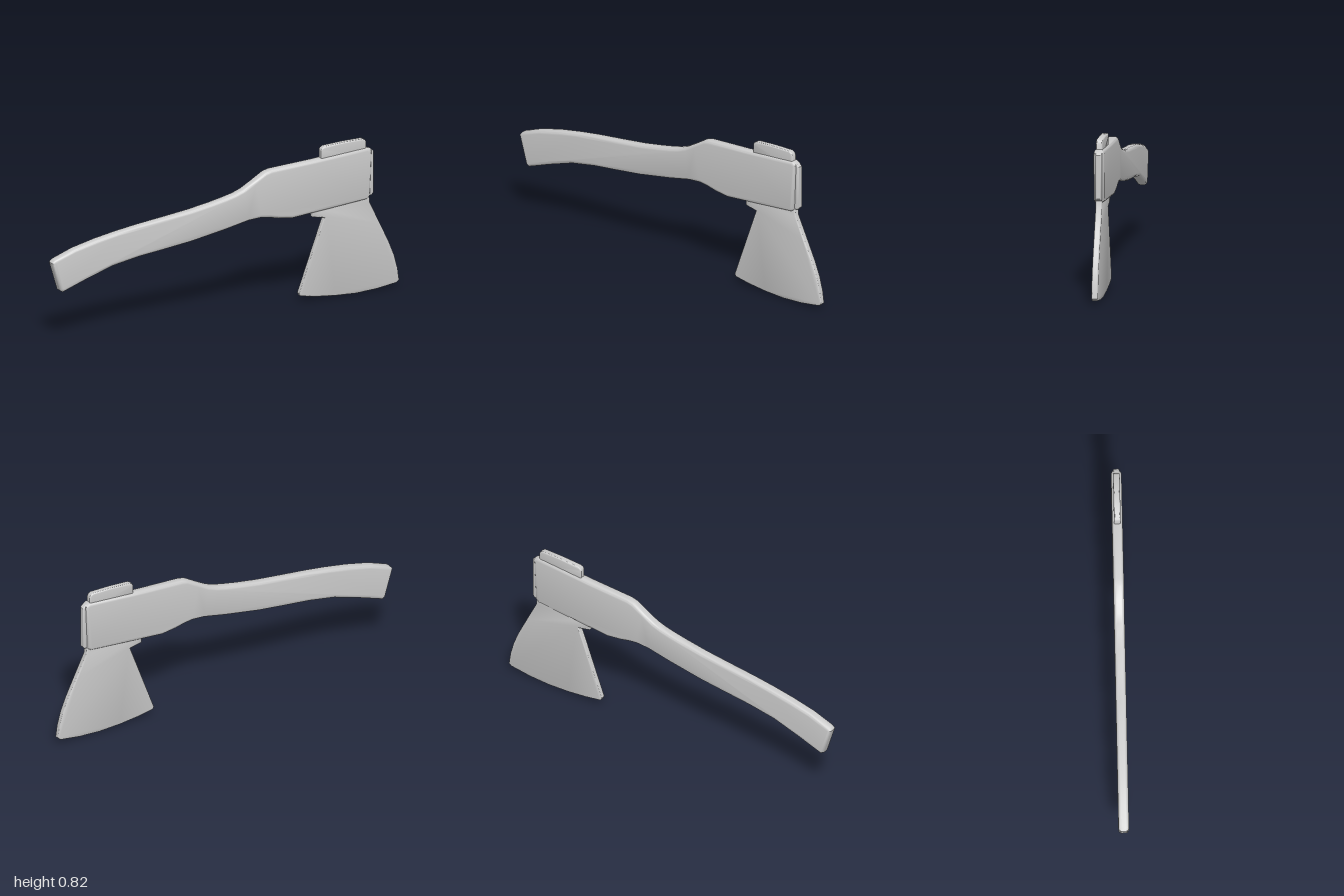
import * as THREE from 'three';
import { toCreasedNormals } from 'three/addons/utils/BufferGeometryUtils.js';

const material = new THREE.MeshStandardMaterial({ color: 0xcccccc });

// Slab with rounded edges: the outline is its outermost silhouette, centred on z = 0
function slab(name, outline, halfThickness, sideInset, faceInset) {
  const shape = new THREE.Shape(outline.map(([x, y]) => new THREE.Vector2(x, y)));
  const depth = 2 * (halfThickness - faceInset);
  const geometry = new THREE.ExtrudeGeometry(shape, {
    depth,
    bevelEnabled: true,
    bevelSize: sideInset,
    bevelOffset: -sideInset,
    bevelThickness: faceInset,
    bevelSegments: 4,
  });
  geometry.translate(0, 0, -depth / 2);
  const mesh = new THREE.Mesh(toCreasedNormals(geometry, 0.7), material);
  mesh.name = name;
  return mesh;
}

export function createModel() {
  const model = new THREE.Group();
  model.name = 'axe';

  // Curved handle with a broad end that holds the head
  model.add(slab('handle', [
    [-1, 0.435], [-0.985, 0.45], [-0.87, 0.492], [-0.74, 0.522], [-0.62, 0.543],
    [-0.5, 0.56], [-0.35, 0.577], [-0.2, 0.595], [-0.08, 0.615], [0, 0.631],
    [0.05, 0.643], [0.1, 0.661], [0.16, 0.695], [0.225, 0.734], [0.26, 0.743],
    [0.5, 0.755], [0.815, 0.777], [0.838, 0.762], [0.828, 0.515], [0.808, 0.5],
    [0.6, 0.482], [0.38, 0.464], [0.3, 0.475], [0.25, 0.487], [0.2, 0.494],
    [0.13, 0.49], [0, 0.463], [-0.2, 0.429], [-0.35, 0.411], [-0.5, 0.394],
    [-0.65, 0.368], [-0.8, 0.32], [-0.937, 0.271], [-0.955, 0.283],
  ], 0.027, 0.018, 0.015));

  // Flared blade with a small lug under the handle
  model.add(slab('blade', [
    [0.5, 0.51], [0.5, 0.45], [0.52, 0.445], [0.567, 0.436], [0.425, 0.05],
    [0.432, 0.035], [0.52, 0.019], [0.63, 0.007], [0.75, 0.001], [0.87, 0.007],
    [0.985, 0.023], [0.999, 0.036], [0.99, 0.1], [0.97, 0.175], [0.94, 0.25],
    [0.885, 0.365], [0.83, 0.478], [0.825, 0.53], [0.7, 0.56],
  ], 0.017, 0.008, 0.008));

  // Part of the head standing above the handle
  model.add(slab('topCap', [
    [0.55, 0.73], [0.55, 0.8], [0.555, 0.811], [0.57, 0.819], [0.68, 0.825],
    [0.79, 0.826], [0.804, 0.818], [0.81, 0.804], [0.81, 0.73],
  ], 0.017, 0.007, 0.007));

  // Strip closing the end of the handle
  model.add(slab('endPlate', [
    [0.8, 0.515], [0.8, 0.77], [0.835, 0.768], [0.851, 0.753], [0.851, 0.528], [0.84, 0.515],
  ], 0.017, 0.008, 0.008));

  return model;
}
